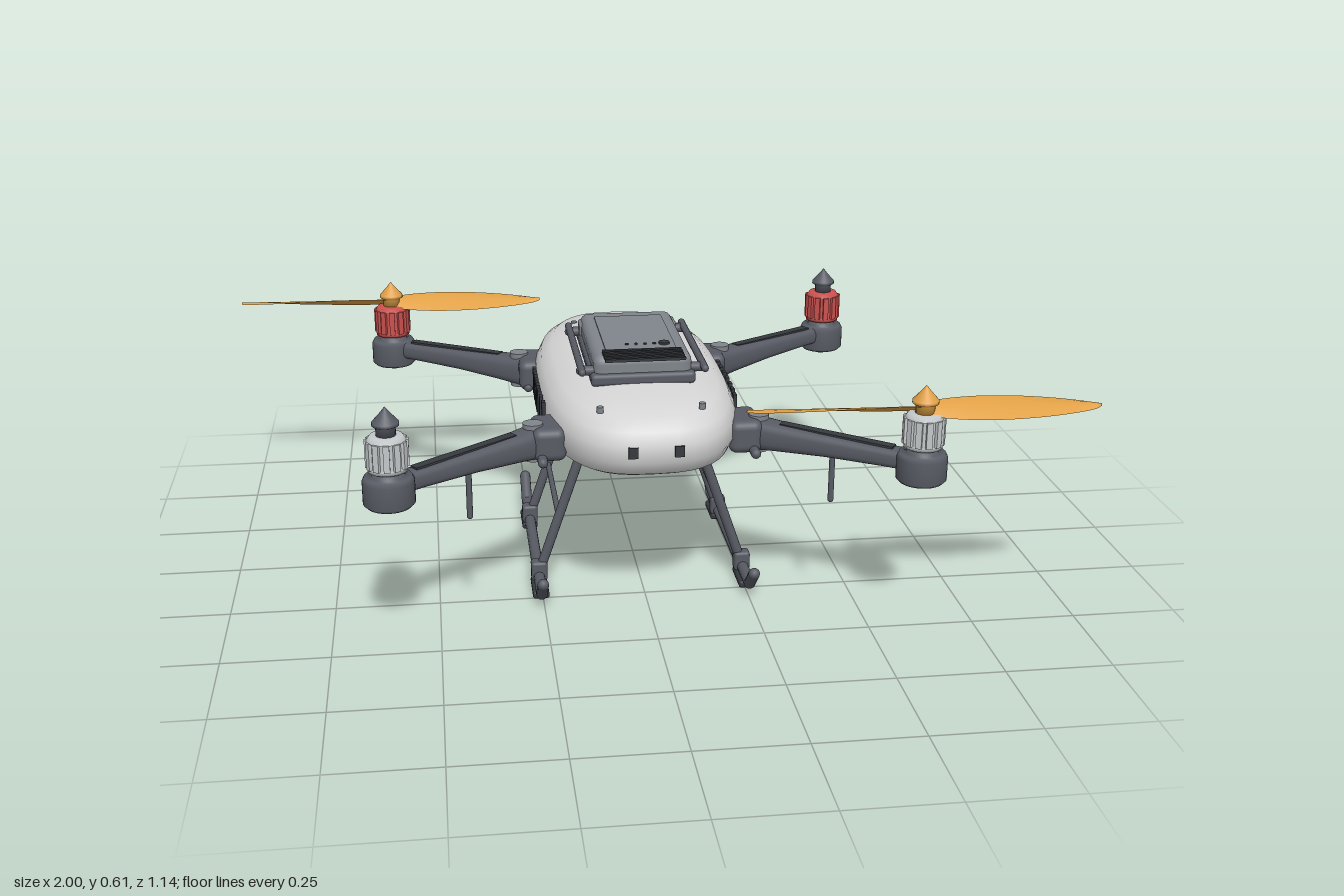
import * as THREE from 'three';
import { RoundedBoxGeometry } from 'three/addons/geometries/RoundedBoxGeometry.js';

const V = (x, y, z) => new THREE.Vector3(x, y, z);
const mat = (name, color, side = THREE.FrontSide) => {
  const m = new THREE.MeshStandardMaterial({ color, side });
  m.name = name;
  return m;
};

// Closed skin over stacked superellipse rings: rows of [y, halfWidth, zFront, zBack]
function loft(rows, n = 2.8, seg = 48) {
  const pos = [], idx = [];
  const pw = (v) => Math.sign(v) * Math.pow(Math.abs(v), 2 / n);
  for (const [y, w, zf, zb] of rows) {
    for (let j = 0; j < seg; j++) {
      const a = (j / seg) * Math.PI * 2;
      pos.push(w * pw(Math.cos(a)), y, (zf + zb) / 2 + ((zf - zb) / 2) * pw(Math.sin(a)));
    }
  }
  for (let i = 0; i < rows.length - 1; i++) {
    for (let j = 0; j < seg; j++) {
      const k = (j + 1) % seg, a = i * seg + j, b = i * seg + k;
      idx.push(a, a + seg, b, b, a + seg, b + seg);
    }
  }
  // end caps with their own vertices, so the rims stay sharp
  [0, rows.length - 1].forEach((r, end) => {
    const base = pos.length / 3, [y, , zf, zb] = rows[r];
    for (let j = 0; j < seg; j++) pos.push(...pos.slice((r * seg + j) * 3, (r * seg + j) * 3 + 3));
    pos.push(0, y, (zf + zb) / 2);
    for (let j = 0; j < seg; j++) {
      const k = (j + 1) % seg;
      if (end) idx.push(base + seg, base + k, base + j);
      else idx.push(base + seg, base + j, base + k);
    }
  });
  const g = new THREE.BufferGeometry();
  g.setAttribute('position', new THREE.Float32BufferAttribute(pos, 3));
  g.setIndex(idx);
  g.computeVertexNormals();
  return g;
}

export function createModel() {
  const model = new THREE.Group();
  model.name = 'quadcopter';
  const shell = mat('shell light grey', 0xd6d6d6);
  const frame = mat('frame grey', 0x585b64);
  const dark = mat('dark grey', 0x36393e);
  const pack = mat('battery grey', 0x80858c);
  const silver = mat('motor silver', 0xc4c8ca);
  const red = mat('motor red', 0xc9514e);
  const gold = mat('propeller gold', 0xe0a046, THREE.DoubleSide);

  const add = (name, geo, m, x = 0, y = 0, z = 0, parent = model) => {
    const mesh = new THREE.Mesh(geo, m);
    mesh.name = name;
    mesh.position.set(x, y, z);
    parent.add(mesh);
    return mesh;
  };
  const rbox = (w, h, d, r) => new RoundedBoxGeometry(w, h, d, 3, r);
  const box = (w, h, d) => new THREE.BoxGeometry(w, h, d);
  const cyl = (r, h, r2 = r) => new THREE.CylinderGeometry(r2, r, h, 24);
  const rod = (name, a, b, r, m = frame) => {
    const d = b.clone().sub(a), c = a.clone().add(b).multiplyScalar(0.5);
    const mesh = add(name, new THREE.CapsuleGeometry(r, d.length(), 4, 12), m, c.x, c.y, c.z);
    mesh.quaternion.setFromUnitVectors(V(0, 1, 0), d.normalize());
    return mesh;
  };

  // Body shell and dark belly
  add('bodyShell', loft([
    [0.36, 0.205, 0.37, -0.465], [0.385, 0.225, 0.43, -0.49], [0.42, 0.237, 0.456, -0.505],
    [0.46, 0.234, 0.456, -0.51], [0.49, 0.22, 0.442, -0.495], [0.513, 0.193, 0.405, -0.455],
    [0.528, 0.15, 0.32, -0.36], [0.535, 0.1, 0.22, -0.25], [0.538, 0.04, 0.1, -0.12],
  ]), shell);
  add('belly', loft([
    [0.328, 0.155, 0.17, -0.36], [0.335, 0.18, 0.26, -0.42],
    [0.35, 0.198, 0.34, -0.475], [0.365, 0.205, 0.37, -0.485],
  ]), dark);
  add('bellySensor', rbox(0.1, 0.024, 0.08, 0.01), frame, 0, 0.322, 0.095);

  // Side vents, lamps and shell screws
  for (const s of [-1, 1]) {
    for (let i = 0; i < 7; i++) {
      const z = 0.141 - i * 0.0435;
      const x = 0.237 * Math.pow(1 - Math.pow(Math.abs(z + 0.025) / 0.482, 2.8), 1 / 2.8);
      add('sideVent', box(0.009, 0.07, 0.021), dark, s * (x + 0.001), 0.435, z);
    }
    add('frontLamp', box(0.022, 0.026, 0.009), dark, s * 0.053, 0.447, 0.453);
    add('rearLamp', box(0.034, 0.028, 0.009), dark, s * 0.06, 0.447, -0.506);
    for (const z of [0.36, -0.325]) add('shellScrew', cyl(0.008, 0.014), pack, s * 0.118, 0.521, z);
  }

  // Battery pack, side rails, ribs, button and positioning dome
  add('batteryTray', rbox(0.25, 0.03, 0.4, 0.01), frame, 0, 0.543, 0.025);
  add('battery', rbox(0.235, 0.062, 0.38, 0.022), pack, 0, 0.569, 0.025);
  add('batteryPanel', box(0.17, 0.006, 0.28), pack, 0, 0.6, 0.03);
  for (const s of [-1, 1]) {
    rod('batteryRail', V(s * 0.146, 0.566, 0.225), V(s * 0.146, 0.566, -0.16), 0.009);
    for (const z of [-0.13, 0.19]) rod('railBracket', V(s * 0.105, 0.56, z), V(s * 0.146, 0.56, z), 0.012);
    add('batteryClip', rbox(0.03, 0.035, 0.055, 0.008), pack, s * 0.108, 0.57, -0.125);
  }
  for (let i = 0; i < 5; i++) add('batteryRib', box(0.19, 0.007, 0.009), dark, 0, 0.603, 0.183 + i * 0.018);
  for (let i = 0; i < 4; i++) add('chargeLight', cyl(0.004, 0.006), dark, -0.03 + i * 0.022, 0.603, 0.135);
  add('powerButton', cyl(0.013, 0.008), dark, 0.06, 0.604, 0.135);
  const dome = add('positionDome', new THREE.SphereGeometry(0.05, 24, 10, 0, Math.PI * 2, 0, Math.PI / 2), shell, 0, 0.532, -0.155);
  dome.scale.y = 0.5;

  // Arms and motors
  const armGeo = loft([
    [0, 0.038, 0.04, -0.04], [0.07, 0.035, 0.034, -0.034], [0.2, 0.03, 0.026, -0.028],
    [0.34, 0.027, 0.023, -0.023], [0.43, 0.027, 0.023, -0.023],
  ], 3, 24).rotateX(Math.PI / 2);
  const baseGeo = new THREE.LatheGeometry([[0, 0.372], [0.05, 0.372], [0.058, 0.38], [0.058, 0.432],
    [0.053, 0.442], [0.036, 0.442], [0.036, 0.465], [0, 0.465]].map((p) => new THREE.Vector2(...p)), 32);
  const canGeo = new THREE.LatheGeometry([[0, 0.456], [0.044, 0.456], [0.044, 0.466], [0.041, 0.466], [0.041, 0.526],
    [0.044, 0.526], [0.036, 0.537], [0, 0.537]].map((p) => new THREE.Vector2(...p)), 32);
  const spinnerGeo = new THREE.LatheGeometry([[0, 0.535], [0.022, 0.535], [0.022, 0.555], [0.03, 0.56],
    [0.03, 0.567], [0.012, 0.587], [0, 0.602]].map((p) => new THREE.Vector2(...p)), 24);

  // Twisted, tapered blade along +x
  const bladeGeo = new THREE.PlaneGeometry(1, 1, 24, 4).rotateX(-Math.PI / 2);
  const bp = bladeGeo.attributes.position;
  for (let i = 0; i < bp.count; i++) {
    const t = bp.getX(i) + 0.5, v = bp.getZ(i);
    const chord = 0.08 * Math.pow(Math.sin(Math.PI * Math.min(1, 0.1 + 0.9 * t)), 0.55) + 0.004;
    const pitch = 0.5 - 0.3 * t;
    const c = v * chord;
    bp.setXYZ(i, 0.008 + t * 0.395, -c * Math.sin(pitch) + 0.006 * (1 - 4 * v * v), c * Math.cos(pitch));
  }
  bladeGeo.computeVertexNormals();

  for (const sx of [-1, 1]) for (const sz of [-1, 1]) {
    const x = sx * 0.6, z = sz * 0.51, rear = sz < 0;
    // arm root: mount block, hinge and rod on the flank
    add('armMount', rbox(0.08, 0.08, 0.13, 0.02), frame, sx * 0.232, 0.42, sz * 0.258);
    add('armHinge', cyl(0.024, 0.09), pack, sx * 0.268, 0.42, sz * 0.275);
    rod('flankRod', V(sx * 0.25, 0.39, sz * 0.2), V(sx * 0.25, 0.39, sz * 0.345), 0.012);
    const arm = new THREE.Group();
    arm.name = 'arm';
    arm.position.set(sx * 0.25, 0.418, sz * 0.265);
    arm.rotation.y = Math.atan2(x - sx * 0.25, z - sz * 0.265);
    model.add(arm);
    add('armBeam', armGeo, frame, 0, 0, 0, arm);
    const strip = add('armStrip', box(0.024, 0.008, 0.28), dark, 0, 0.027, 0.22, arm);
    strip.rotation.x = 0.03;
    if (!rear) rod('armAntenna', V(sx * 0.423, 0.4, 0.385), V(sx * 0.423, 0.283, 0.385), 0.007);

    // motor with fins
    const motor = new THREE.Group();
    motor.name = rear ? 'rearMotor' : 'frontMotor';
    motor.position.set(x, 0, z);
    model.add(motor);
    const paint = rear ? red : silver;
    add('motorBase', baseGeo, frame, 0, 0, 0, motor);
    add('motorCan', canGeo, paint, 0, 0, 0, motor);
    for (let i = 0; i < 12; i++) {
      const a = (i / 12) * Math.PI * 2;
      const fin = add('motorFin', box(0.012, 0.062, 0.014), paint, 0.042 * Math.cos(a), 0.496, 0.042 * Math.sin(a), motor);
      fin.rotation.y = -a;
    }
    add('statusLight', cyl(0.015, 0.014), rear ? frame : red, 0, 0.367, 0, motor);

    // propellers on one diagonal only
    const hasProp = sx === sz;
    add('spinner', spinnerGeo, hasProp ? gold : frame, 0, 0, 0, motor);
    if (hasProp) for (const turn of [0, Math.PI]) {
      const blade = add('propellerBlade', bladeGeo, gold, 0, 0.545, 0, motor);
      blade.rotation.y = turn - 0.06;
    }
  }

  // Landing gear
  for (const s of [-1, 1]) {
    for (const z of [0.172, -0.188]) {
      rod('landingLeg', V(s * 0.15, 0.335, z), V(s * 0.255, 0.03, z), 0.012);
      add('legSocket', rbox(0.04, 0.05, 0.035, 0.008), frame, s * 0.254, 0.04, z);
    }
    rod('crossBar', V(s * 0.203, 0.18, 0.172), V(s * 0.203, 0.18, -0.188), 0.007);
    const path = [V(s * 0.255, 0.077, 0.338), V(s * 0.255, 0.027, 0.285), V(s * 0.255, 0.027, -0.302), V(s * 0.255, 0.077, -0.364)];
    for (let i = 0; i < 3; i++) rod('skid', path[i], path[i + 1], 0.014);
    for (const z of [0.207, -0.222]) add('footPad', rbox(0.04, 0.018, 0.1, 0.006), dark, s * 0.255, 0.009, z);
  }

  // Camera gimbal under the tail
  add('gimbalPlate', rbox(0.13, 0.014, 0.1, 0.005), frame, 0, 0.318, -0.38);
  for (const sx of [-1, 1]) for (const z of [-0.345, -0.41]) add('gimbalDamper', cyl(0.01, 0.03), dark, sx * 0.048, 0.327, z);
  add('gimbalNeck', cyl(0.022, 0.05), frame, 0, 0.295, -0.37);
  add('cameraBody', rbox(0.12, 0.085, 0.092, 0.025), pack, 0, 0.25, -0.371);
  for (const s of [-1, 1]) {
    add('tiltMotor', cyl(0.026, 0.03), frame, s * 0.07, 0.25, -0.371).rotation.z = Math.PI / 2;
    add('tiltShaft', cyl(0.013, 0.04), frame, s * 0.085, 0.25, -0.371).rotation.z = Math.PI / 2;
    add('tiltCap', cyl(0.024, 0.012), frame, s * 0.098, 0.25, -0.371).rotation.z = Math.PI / 2;
  }
  add('lensBarrel', cyl(0.034, 0.04), pack, 0, 0.25, -0.43).rotation.x = Math.PI / 2;
  add('lensGlass', cyl(0.026, 0.006), dark, 0, 0.25, -0.45).rotation.x = Math.PI / 2;
  return model;
}
